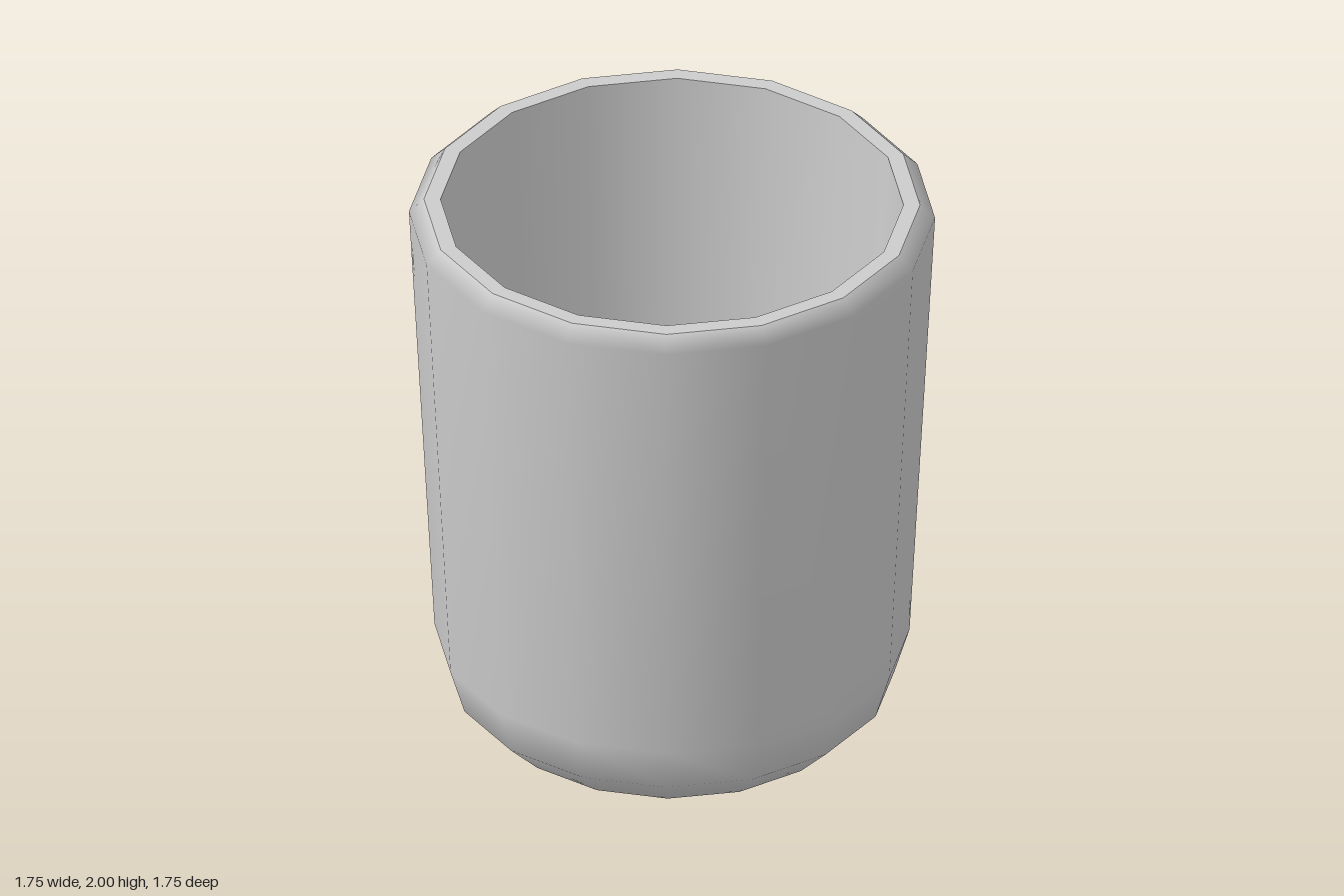
import * as THREE from 'three';

const SIDES = 16;

// Revolve a [radius, height] profile; it runs up the outside, over the rim and down the inside
function ring(name, profile, material) {
  const points = profile.map(([r, y]) => new THREE.Vector2(r, y));
  const mesh = new THREE.Mesh(new THREE.LatheGeometry(points, SIDES), material);
  mesh.name = name;
  return mesh;
}

export function createModel() {
  const group = new THREE.Group();
  group.name = 'cup';
  const material = new THREE.MeshStandardMaterial({ color: 0xcccccc });

  // Separate surfaces keep the edges at the rim and inner floor sharp
  group.add(
    // Flat base, rounded foot, tapered wall and bevelled lip in one smooth surface
    ring('outerShell', [
      [0, 0], [0.46, 0], [0.62, 0.045], [0.74, 0.165],
      [0.79, 0.33], [0.875, 1.95], [0.825, 2],
    ], material),
    ring('rim', [[0.825, 2], [0.77, 2]], material),
    ring('innerWall', [[0.77, 2], [0.685, 0.36]], material),
    ring('innerFloor', [[0.685, 0.36], [0, 0.36]], material),
  );
  return group;
}
